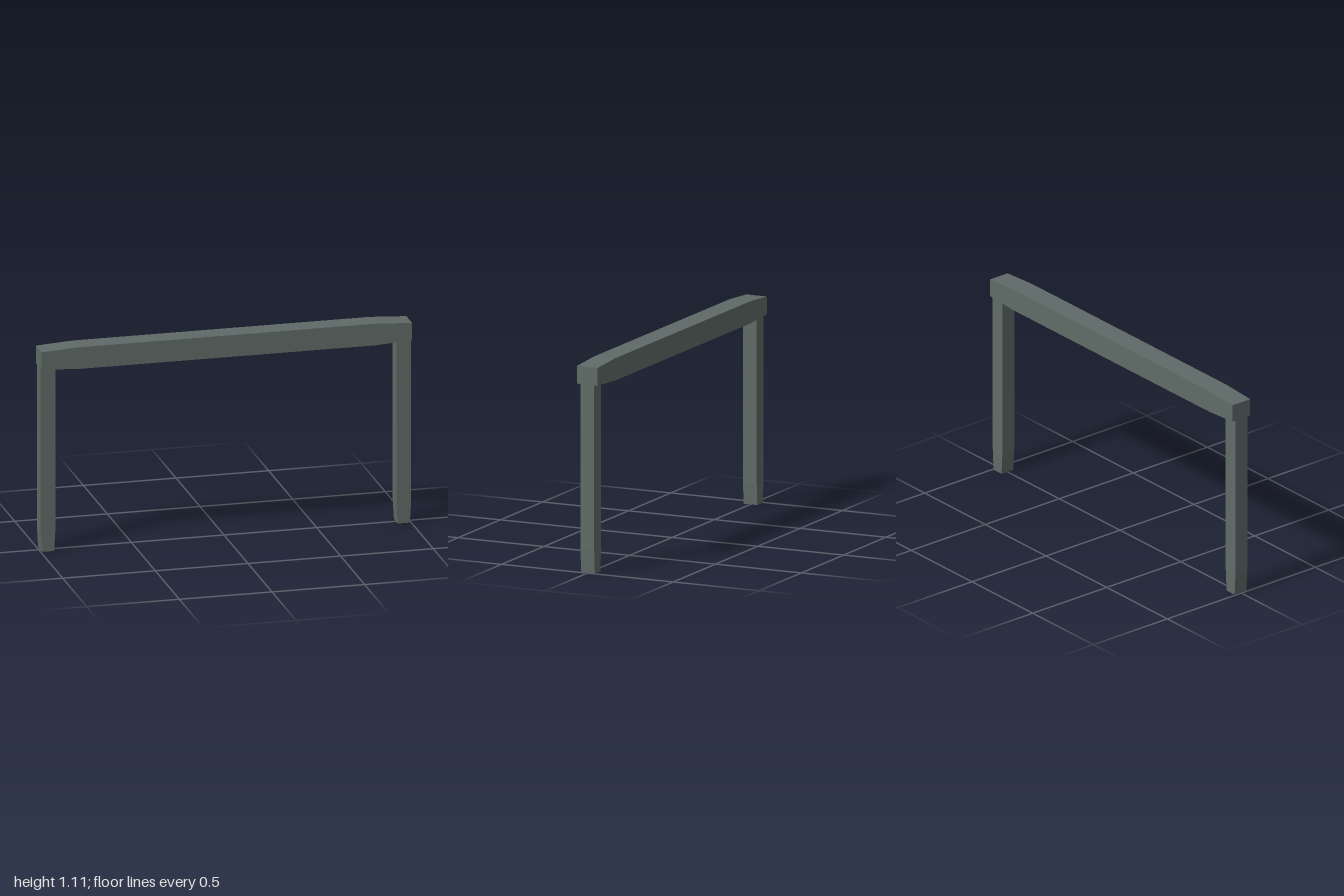
import * as THREE from 'three';

// Extrude a side profile to a given depth, centred on z = 0
function slab(points, depth, material, name) {
  const shape = new THREE.Shape(points.map(([x, y]) => new THREE.Vector2(x, y)));
  const geometry = new THREE.ExtrudeGeometry(shape, { depth, bevelEnabled: false });
  geometry.translate(0, 0, -depth / 2);
  const mesh = new THREE.Mesh(geometry, material);
  mesh.name = name;
  return mesh;
}

export function createModel() {
  const group = new THREE.Group();
  group.name = 'barrierFrame';
  const greyGreen = new THREE.MeshStandardMaterial({ color: 0x5f6b68 });
  greyGreen.name = 'greyGreen';

  // Crossbeam, slimmer towards both ends
  group.add(slab([
    [-1, 1.007], [-0.8, 0.995], [0.8, 0.995], [1, 1.007],
    [1, 1.102], [0.8, 1.114], [-0.8, 1.114], [-1, 1.102],
  ], 0.12, greyGreen, 'crossbeam'));

  // Square legs with feet tapered across their width
  for (const [side, name] of [[1, 'leftLeg'], [-1, 'rightLeg']]) {
    const leg = slab([
      [-0.033, 0], [0.033, 0], [0.04, 0.12], [0.04, 1.007], [-0.04, 1.007], [-0.04, 0.12],
    ], 0.08, greyGreen, name);
    leg.position.x = side * 0.96;
    group.add(leg);
  }
  return group;
}
